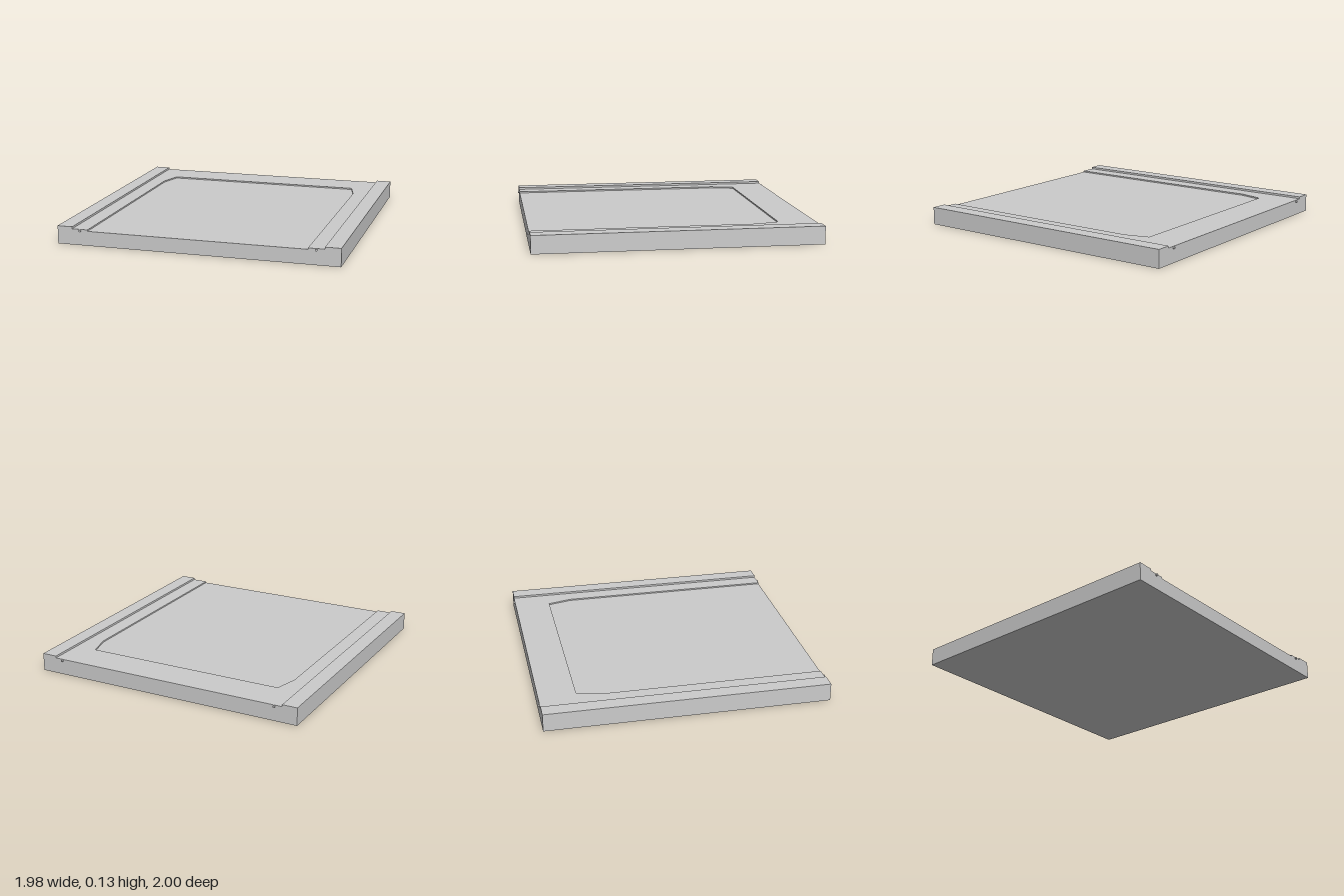
import * as THREE from 'three';

const HALF = 0.99, RAIL = 0.882;           // half width of the slab, inner edge of the rails
const TOP = 0.126, DECK = 0.112, FLOOR = 0.102; // heights of rails, deck and recess floor

// Slab cross-section, anticlockwise seen from the front, with a recess of half width r
function section(r, floor) {
  const right = [[HALF, 0], [HALF, TOP], [RAIL, TOP], [RAIL, DECK], [r, DECK], [r, floor]];
  const left = right.map(([x, y]) => [-x, y]).reverse();
  return [...right, ...left].map(([x, y]) => new THREE.Vector2(x, y));
}

// Joins cross-sections from back to front and caps both ends
function loft(stations) {
  const pos = [];
  const tri = (...pts) => {
    const [a, b, c] = pts;
    const area = new THREE.Triangle(a, b, c).getArea();
    if (area > 1e-9) pts.forEach(p => pos.push(p.x, p.y, p.z));
  };
  const rings = stations.map(({ z, pts }) => pts.map(p => new THREE.Vector3(p.x, p.y, z)));
  for (let s = 0; s < rings.length - 1; s++) {
    const a = rings[s], b = rings[s + 1];
    for (let i = 0; i < a.length; i++) {
      const j = (i + 1) % a.length;
      tri(a[i], a[j], b[j]);
      tri(a[i], b[j], b[i]);
    }
  }
  const cap = (index, flip) => {
    const ring = rings[index];
    for (const [i, j, k] of THREE.ShapeUtils.triangulateShape(stations[index].pts, [])) {
      if (flip) tri(ring[k], ring[j], ring[i]);
      else tri(ring[i], ring[j], ring[k]);
    }
  };
  cap(0, true);
  cap(rings.length - 1, false);
  const geometry = new THREE.BufferGeometry();
  geometry.setAttribute('position', new THREE.Float32BufferAttribute(pos, 3));
  geometry.computeVertexNormals();
  return geometry;
}

export function createModel() {
  const group = new THREE.Group();
  group.name = 'slab';

  // Slab with raised side rails and a shallow recess, open at the front
  const body = new THREE.Mesh(
    loft([
      { z: -HALF, pts: section(0.725, DECK) },
      { z: -0.73, pts: section(0.725, DECK) },
      { z: -0.73, pts: section(0.725, FLOOR) },
      { z: -0.56, pts: section(0.77, FLOOR) },
      { z: HALF, pts: section(0.77, FLOOR) },
    ]),
    new THREE.MeshStandardMaterial({ color: 0xcccccc, flatShading: true }),
  );
  body.name = 'body';
  group.add(body);

  // Small round pins at the front and back ends
  const pinGeometry = new THREE.CylinderGeometry(0.008, 0.008, 0.03, 16).rotateX(Math.PI / 2);
  const pinMaterial = new THREE.MeshStandardMaterial({ color: 0xcccccc });
  for (const x of [-1, 1]) {
    for (const z of [-1, 1]) {
      const pin = new THREE.Mesh(pinGeometry, pinMaterial);
      pin.name = `${z > 0 ? 'front' : 'back'}${x > 0 ? 'Left' : 'Right'}Pin`;
      pin.position.set(x * 0.826, 0.102, z * 0.985);
      group.add(pin);
    }
  }
  return group;
}
